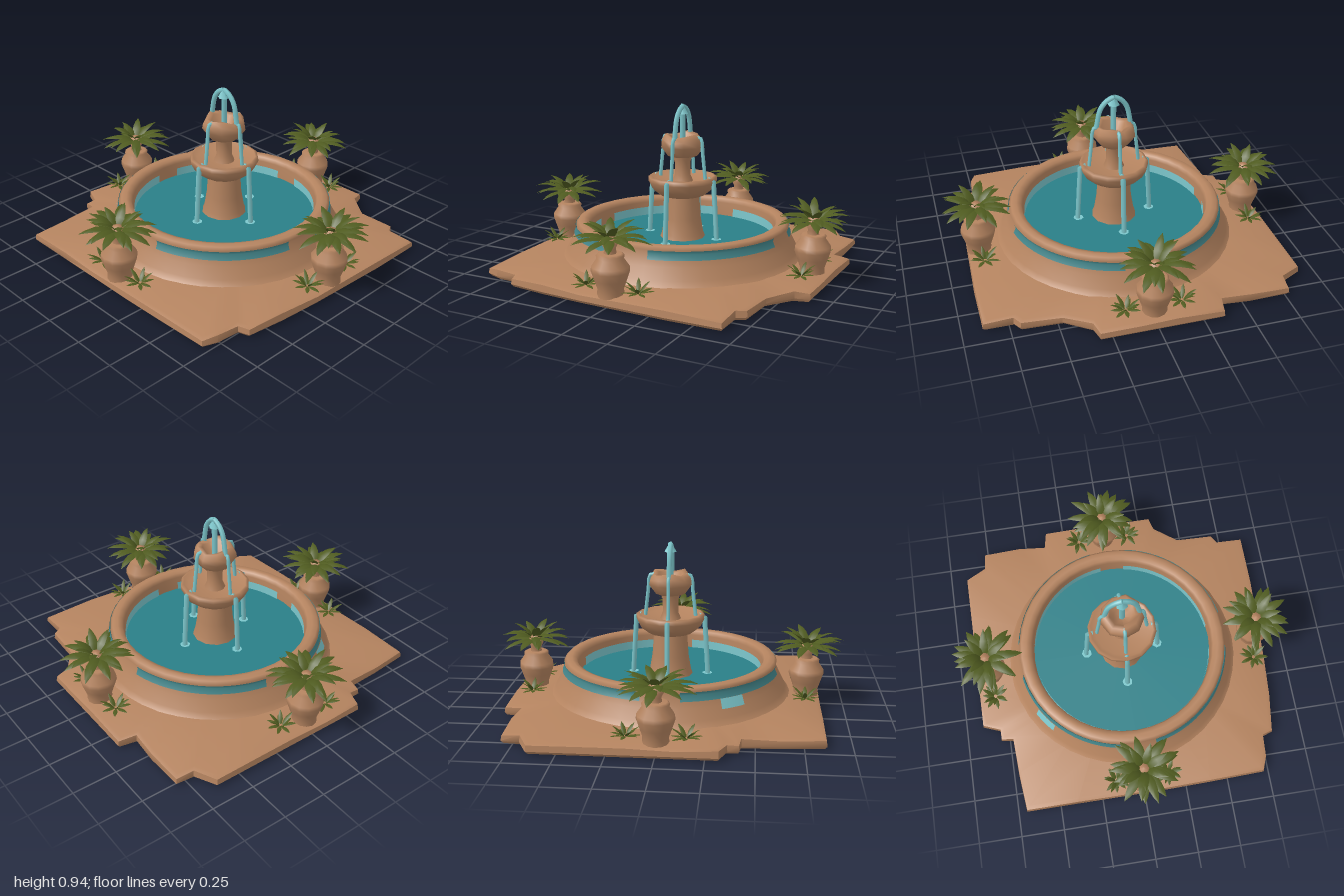
import * as THREE from 'three';
import { mergeGeometries, toCreasedNormals } from 'three/addons/utils/BufferGeometryUtils.js';

const material = (name, color, side = THREE.FrontSide) => {
  const m = new THREE.MeshStandardMaterial({ color, side });
  m.name = name;
  return m;
};

const rows = (list) => list.map(([x, y]) => new THREE.Vector2(x, y));
const v3 = (x, y, z) => new THREE.Vector3(x, y, z);

// Smooth surface through a grid of points
function loft(grid, closed) {
  const n = grid[0].length, pos = [], index = [];
  grid.forEach((row) => row.forEach((p) => pos.push(p.x, p.y, p.z)));
  for (let i = 0; i < grid.length - 1; i++) {
    for (let j = 0; j < (closed ? n : n - 1); j++) {
      const k = (j + 1) % n, a = i * n + j, b = i * n + k, c = a + n, d = b + n;
      index.push(a, c, b, b, c, d);
    }
  }
  const g = new THREE.BufferGeometry();
  g.setAttribute('position', new THREE.Float32BufferAttribute(pos, 3));
  g.setIndex(index);
  g.computeVertexNormals();
  return g;
}

// Arching leaf with a folded middle
function leaf(yaw, rise, droop, length, width) {
  const profile = [0.25, 0.75, 1, 0.9, 0.6, 0.04], grid = [];
  let r = 0.01, y = 0;
  profile.forEach((w, i) => {
    const half = width * w / 2, fold = half * 0.35;
    grid.push([v3(-half, y - fold, r), v3(0, y, r), v3(half, y - fold, r)]);
    const angle = rise - droop * (i + 0.5) / 5;
    r += Math.cos(angle) * length / 5;
    y += Math.sin(angle) * length / 5;
  });
  return loft(grid, false).rotateY(yaw);
}

// Rosette made from rings of [count, rise, droop, length, width]
function rosette(rings, seed) {
  const leaves = [];
  let s = seed;
  const vary = () => { s = (s * 16807) % 2147483647; return s / 2147483647 - 0.5; };
  rings.forEach(([count, rise, droop, length, width], ring) => {
    for (let i = 0; i < count; i++) {
      const yaw = (i + ring * 0.5) / count * Math.PI * 2 + vary() * 0.25;
      leaves.push(leaf(yaw, rise + vary() * 0.2, droop, length * (1 + vary() * 0.2), width));
    }
  });
  return mergeGeometries(leaves);
}

export function createModel() {
  const model = new THREE.Group();
  model.name = 'fountain';
  const clay = material('clay', 0xb4835f, THREE.DoubleSide);
  const water = material('pool water', 0x2a7f87);
  const glaze = material('teal glaze', 0x43858a, THREE.DoubleSide);
  const spray = material('pale water', 0x7cc6cb, THREE.DoubleSide);
  const foliage = material('foliage', 0x505c20, THREE.DoubleSide);

  const add = (name, geometry, mat, parent = model) => {
    const mesh = new THREE.Mesh(geometry, mat);
    mesh.name = name;
    parent.add(mesh);
    return mesh;
  };
  const lathe = (name, points, sides, mat = clay, parent = model, start = 0, sweep = Math.PI * 2) =>
    add(name, new THREE.LatheGeometry(rows(points), sides, start, sweep), mat, parent);

  // Paved base with a broken outline, rising gently to the basin
  const outline = [
    [-0.9, -0.65], [-0.78, -0.71], [-0.77, -0.81], [-0.55, -0.815], [-0.38, -0.8], [-0.36, -0.9], [-0.1, -0.9],
    [0.1, -0.9], [0.32, -0.9], [0.34, -0.82], [0.48, -0.72], [0.7, -0.71], [0.73, -0.66], [0.89, -0.66],
    [0.89, -0.35], [0.88, -0.1], [0.87, 0.15], [0.85, 0.4], [0.82, 0.62], [0.76, 0.64], [0.75, 0.77],
    [0.72, 0.85], [0.4, 0.86], [0.15, 0.865], [-0.15, 0.865], [-0.4, 0.865], [-0.7, 0.865], [-0.72, 0.65],
    [-0.73, 0.43], [-0.8, 0.42], [-0.8, 0.36], [-0.9, 0.32], [-0.9, 0.1], [-0.9, -0.15], [-0.9, -0.4],
  ];
  const ring = (scale, y, wobble = 0) => outline.map(([x, z], i) =>
    v3(x * scale, y + wobble * Math.sin(i * 2.3), z * scale));
  const inner = outline.map(([x, z]) => {
    const k = 0.66 / Math.hypot(x, z);
    return v3(x * k, 0.08, z * k);
  });
  const base = loft([ring(0, 0), ring(0.985, 0.004), ring(1, 0.02), ring(0.995, 0.052, 0.006),
    ring(0.97, 0.06, 0.004), inner], true);
  add('base', toCreasedNormals(base, 0.8), clay);

  // Basin with a sloping wall and rounded rim
  lathe('basin', [[0.72, 0.05], [0.685, 0.08], [0.665, 0.11], [0.635, 0.17], [0.605, 0.235], [0.615, 0.255],
    [0.6, 0.272], [0.57, 0.276], [0.545, 0.268], [0.535, 0.245], [0.53, 0.14]], 40);
  add('poolWater', new THREE.CircleGeometry(0.535, 40).rotateX(-Math.PI / 2), water).position.y = 0.165;

  // Glazed bands outside the wall and splashed water inside it
  for (let i = 0; i < 4; i++) {
    const start = i * Math.PI / 2;
    lathe('glazeBand', [[0.626, 0.205], [0.612, 0.235], [0.618, 0.253]], 14, glaze, model, start + 0.17, 1.23);
    lathe('splashBand', [[0.525, 0.165], [0.526, 0.215]], 14, spray, model, start + 0.1, 1.3);
  }
  lathe('glazePatch', [[0.651, 0.155], [0.629, 0.206]], 4, spray, model, -1.05, 0.22);

  // Tiered centre
  lathe('pedestal', [[0.14, 0.14], [0.12, 0.19], [0.105, 0.28], [0.095, 0.42]], 12);
  lathe('lowerBowl', [[0.08, 0.4], [0.13, 0.415], [0.175, 0.45], [0.198, 0.495], [0.197, 0.518], [0.18, 0.524],
    [0.155, 0.5], [0.04, 0.49]], 14);
  lathe('upperColumn', [[0.065, 0.48], [0.045, 0.53], [0.045, 0.6], [0.06, 0.65]], 10);
  const bowl = lathe('upperBowl', [[0.04, 0.63], [0.085, 0.64], [0.125, 0.695], [0.12, 0.73], [0.1, 0.76],
    [0.072, 0.75], [0.05, 0.705], [0, 0.695]], 9).geometry;
  const p = bowl.attributes.position;
  for (let i = 0; i < p.count; i++) {
    // Uneven lip
    if (p.getY(i) > 0.72) p.setY(i, p.getY(i) + 0.012 * Math.sin(3 * Math.atan2(p.getX(i), p.getZ(i))));
  }
  bowl.computeVertexNormals();

  // Falling water
  const stream = (name, points, radius, parent) => add(name, new THREE.TubeGeometry(
    new THREE.CatmullRomCurve3(points.map((q) => v3(...q))), 10, radius, 5), spray, parent);
  for (let i = 0; i < 4; i++) {
    const side = new THREE.Group();
    side.name = 'streams';
    side.rotation.y = i * Math.PI / 2;
    model.add(side);
    stream('lowerStream', [[0.17, 0.515, 0], [0.192, 0.518, 0], [0.2, 0.45, 0], [0.21, 0.3, 0], [0.218, 0.165, 0]],
      0.015, side);
    stream('upperStream', [[0.09, 0.75, 0], [0.117, 0.745, 0], [0.128, 0.66, 0], [0.145, 0.51, 0]], 0.011, side);
    add('splash', new THREE.CircleGeometry(0.03, 7).rotateX(-Math.PI / 2), spray, side).position.set(0.215, 0.17, 0);
  }
  for (const s of [-1, 1]) {
    stream('jetArc', [[0, 0.925, 0], [s * 0.04, 0.905, 0], [s * 0.075, 0.86, 0], [s * 0.1, 0.75, 0]], 0.015);
  }
  stream('jet', [[0, 0.69, 0], [0, 0.78, 0], [0, 0.9, 0]], 0.017);
  add('jetTip', new THREE.ConeGeometry(0.035, 0.06, 6), spray).position.y = 0.91;

  // Potted palms, each with a small plant on either side
  const palmRings = [[10, 0.4, 1.0, 0.2, 0.056], [9, 0.8, 1.3, 0.205, 0.056], [7, 1.2, 1.2, 0.165, 0.05]];
  const smallRings = [[7, 0.4, 0.6, 0.075, 0.024], [6, 1.0, 0.7, 0.085, 0.024]];
  const spots = [[0, 0.785], [0.805, 0], [0, -0.795], [-0.81, 0]];
  spots.forEach(([x, z], i) => {
    const planter = new THREE.Group();
    planter.name = 'planter';
    planter.position.set(x, 0, z);
    planter.rotation.y = i * Math.PI / 2;
    model.add(planter);
    lathe('pot', [[0.07, 0.05], [0.068, 0.09], [0.085, 0.14], [0.1, 0.185], [0.098, 0.21], [0.07, 0.25],
      [0.073, 0.268], [0.06, 0.277], [0, 0.277]], 12, clay, planter);
    lathe('trunk', [[0.035, 0.27], [0.03, 0.3], [0.045, 0.33], [0.03, 0.37], [0, 0.375]], 8, clay, planter);
    add('palmLeaves', rosette(palmRings, 11 + i * 37), foliage, planter).position.y = 0.345;
    for (const s of [-1, 1]) {
      add('smallPlant', rosette(smallRings, 5 + i * 13 + s), foliage, planter)
        .position.set(s * 0.155, 0.085, -0.01);
    }
  });
  return model;
}
